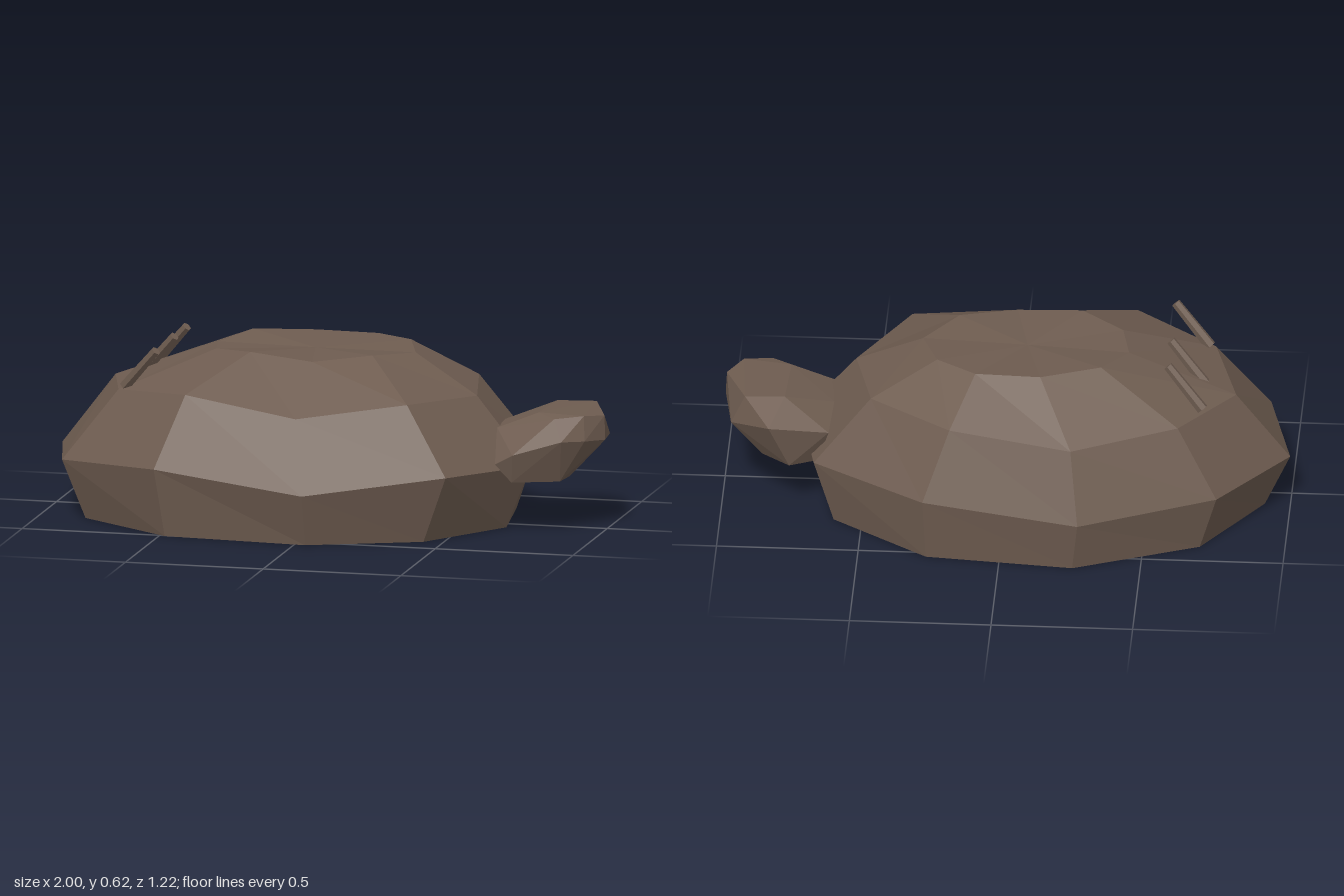
import * as THREE from 'three';
import { ConvexGeometry } from 'three/addons/geometries/ConvexGeometry.js';

// Closed faceted solid from stacked rings of [x, y, z] points
function loft(rings, bottom, top) {
  const pos = [];
  const tri = (...pts) => pts.forEach((p) => pos.push(...p));
  const n = rings[0].length;
  for (let i = 0; i < n; i++) {
    const j = (i + 1) % n;
    tri(bottom, rings[0][i], rings[0][j]);
    for (let k = 0; k < rings.length - 1; k++) {
      const lo = rings[k], hi = rings[k + 1];
      tri(lo[i], hi[i], hi[j]);
      tri(lo[i], hi[j], lo[j]);
    }
    const last = rings[rings.length - 1];
    tri(top, last[j], last[i]);
  }
  const g = new THREE.BufferGeometry();
  g.setAttribute('position', new THREE.Float32BufferAttribute(pos, 3));
  g.computeVertexNormals();
  return g;
}

export function createModel() {
  const group = new THREE.Group();
  const brown = new THREE.MeshStandardMaterial({ color: 0x6e5c50, flatShading: true });
  const add = (name, geometry) => {
    const mesh = new THREE.Mesh(geometry, brown);
    mesh.name = name;
    group.add(mesh);
    return mesh;
  };

  // Shell: foot, widest rim, shoulder and crown rings
  const foot = [
    [-0.91, 0, -0.08], [-0.70, 0, -0.40], [-0.26, 0, -0.58], [0.26, 0, -0.53], [0.60, 0, -0.285],
    [0.65, 0, 0.065], [0.43, 0, 0.39], [0.04, 0, 0.55], [-0.48, 0, 0.51], [-0.83, 0, 0.26],
  ];
  const rim = [
    [-1, 0.2, -0.09], [-0.76, 0.21, -0.43], [-0.28, 0.185, -0.61], [0.27, 0.235, -0.56], [0.67, 0.23, -0.29],
    [0.74, 0.225, 0.07], [0.52, 0.24, 0.43], [0.04, 0.185, 0.605], [-0.51, 0.245, 0.55], [-0.91, 0.21, 0.28],
  ];
  const shoulder = [
    [-0.81, 0.45, -0.10], [-0.62, 0.46, -0.37], [-0.25, 0.435, -0.515], [0.18, 0.48, -0.47], [0.47, 0.48, -0.26],
    [0.54, 0.465, 0.05], [0.36, 0.48, 0.35], [-0.02, 0.43, 0.45], [-0.43, 0.49, 0.41], [-0.72, 0.46, 0.22],
  ];
  const crown = [
    [-0.43, 0.59, -0.07], [-0.34, 0.612, -0.22], [-0.13, 0.605, -0.29], [0.10, 0.605, -0.28], [0.24, 0.607, -0.19],
    [0.30, 0.595, -0.02], [0.18, 0.607, 0.13], [-0.02, 0.59, 0.21], [-0.25, 0.61, 0.185], [-0.40, 0.595, 0.08],
  ];
  add('shell', loft([foot, rim, shoulder, crown], [-0.08, 0, 0], [-0.07, 0.592, -0.04]));

  // Head: flat underside, slanted sides and a wide top
  const headPoints = [
    // underside
    [0.66, 0.19, -0.20], [0.76, 0.187, -0.24], [0.86, 0.187, -0.16], [0.87, 0.187, 0.03],
    [0.86, 0.187, 0.13], [0.70, 0.187, 0.19],
    // middle
    [0.62, 0.33, -0.25], [0.83, 0.355, -0.28], [0.97, 0.31, -0.16], [1, 0.325, 0.03],
    [0.95, 0.335, 0.13], [0.88, 0.34, 0.19], [0.71, 0.29, 0.22], [0.64, 0.25, 0.20],
    // top
    [0.61, 0.36, -0.08], [0.62, 0.36, 0.08], [0.77, 0.42, 0.07], [0.84, 0.41, 0.13],
    [0.94, 0.42, 0.10], [0.995, 0.41, 0.02], [0.92, 0.422, -0.17], [0.78, 0.42, -0.16],
  ].map((p) => new THREE.Vector3(...p));
  add('head', new ConvexGeometry(headPoints));

  // Three small slanted spikes on the tail end
  for (const z of [-0.245, -0.065, 0.205]) {
    const from = new THREE.Vector3(-0.70, 0.47, z);
    const to = new THREE.Vector3(-0.575, 0.612, z + 0.05);
    const dir = to.clone().sub(from);
    const spike = add('tailSpike', new THREE.CylinderGeometry(0.017, 0.021, dir.length(), 6));
    spike.position.copy(from).add(to).multiplyScalar(0.5);
    spike.quaternion.setFromUnitVectors(new THREE.Vector3(0, 1, 0), dir.normalize());
  }
  return group;
}
